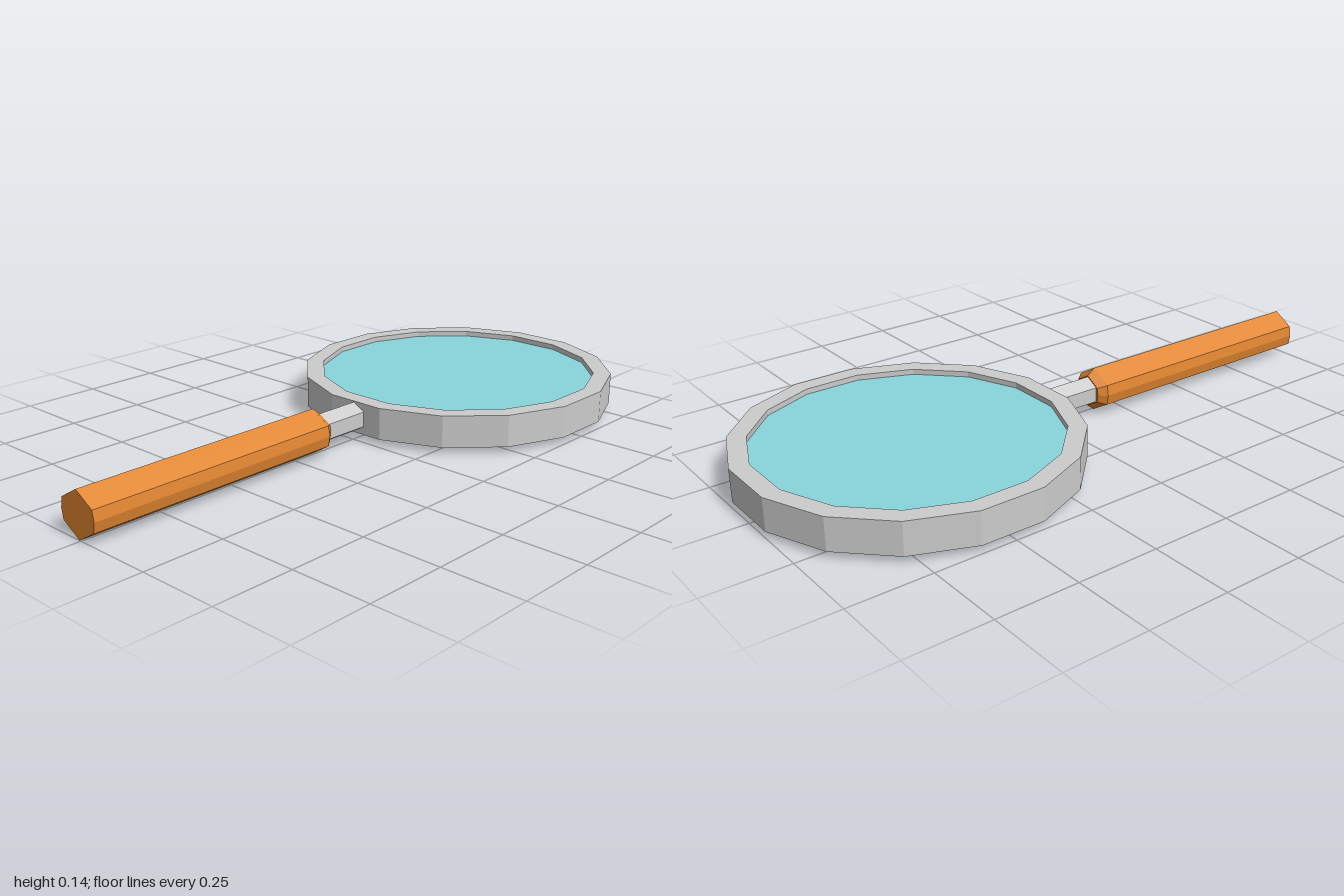
import * as THREE from 'three';
import { ConvexGeometry } from 'three/addons/geometries/ConvexGeometry.js';

const SIDES = 16;
const LENS_Z = -0.505;
const AXIS_X = -0.006;
const AXIS_Y = 0.073;

function add(group, name, geometry, color) {
  const material = new THREE.MeshStandardMaterial({ color, flatShading: true });
  const mesh = new THREE.Mesh(geometry, material);
  mesh.name = name;
  group.add(mesh);
  return mesh;
}

// Regular polygon with flats on the axes, sized by its apothem
function polygon(apothem) {
  const r = apothem / Math.cos(Math.PI / SIDES);
  return Array.from({ length: SIDES }, (_, i) => {
    const a = ((i + 0.5) / SIDES) * Math.PI * 2;
    return new THREE.Vector2(r * Math.cos(a), r * Math.sin(a));
  });
}

// Flat-lying plate between two heights
function plate(shape, y0, y1) {
  return new THREE.ExtrudeGeometry(shape, { depth: y1 - y0, bevelEnabled: false })
    .rotateX(-Math.PI / 2)
    .translate(0, y0, LENS_Z);
}

export function createModel() {
  const model = new THREE.Group();
  model.name = 'magnifyingGlass';

  // Rim around the lens
  const rim = new THREE.Shape(polygon(0.495));
  rim.holes.push(new THREE.Path(polygon(0.44)));
  add(model, 'rim', plate(rim, 0.023, 0.123), 0xcccccc);

  // Lens, slightly recessed on both faces
  add(model, 'lens', plate(new THREE.Shape(polygon(0.441)), 0.038, 0.106), 0x88d4dc);

  // Six-sided stem joining rim and handle
  const stem = new THREE.CylinderGeometry(0.047, 0.047, 0.2, 6).rotateX(Math.PI / 2);
  add(model, 'stem', stem, 0xcccccc).position.set(AXIS_X, AXIS_Y, 0.07);

  // Handle: constant section with a chamfer at the stem end
  const section = [
    [0, 0.07], [0.064, 0.032], [0.07, 0], [0.064, -0.032],
    [0, -0.07], [-0.064, -0.032], [-0.07, 0], [-0.064, 0.032],
  ];
  const points = [];
  for (const [z, s] of [[1, 1], [0.168, 1], [0.143, 0.72]]) {
    for (const [x, y] of section) points.push(new THREE.Vector3(x * s, y * s, z));
  }
  add(model, 'handle', new ConvexGeometry(points), 0xe08530).position.set(AXIS_X, AXIS_Y, 0);

  return model;
}
